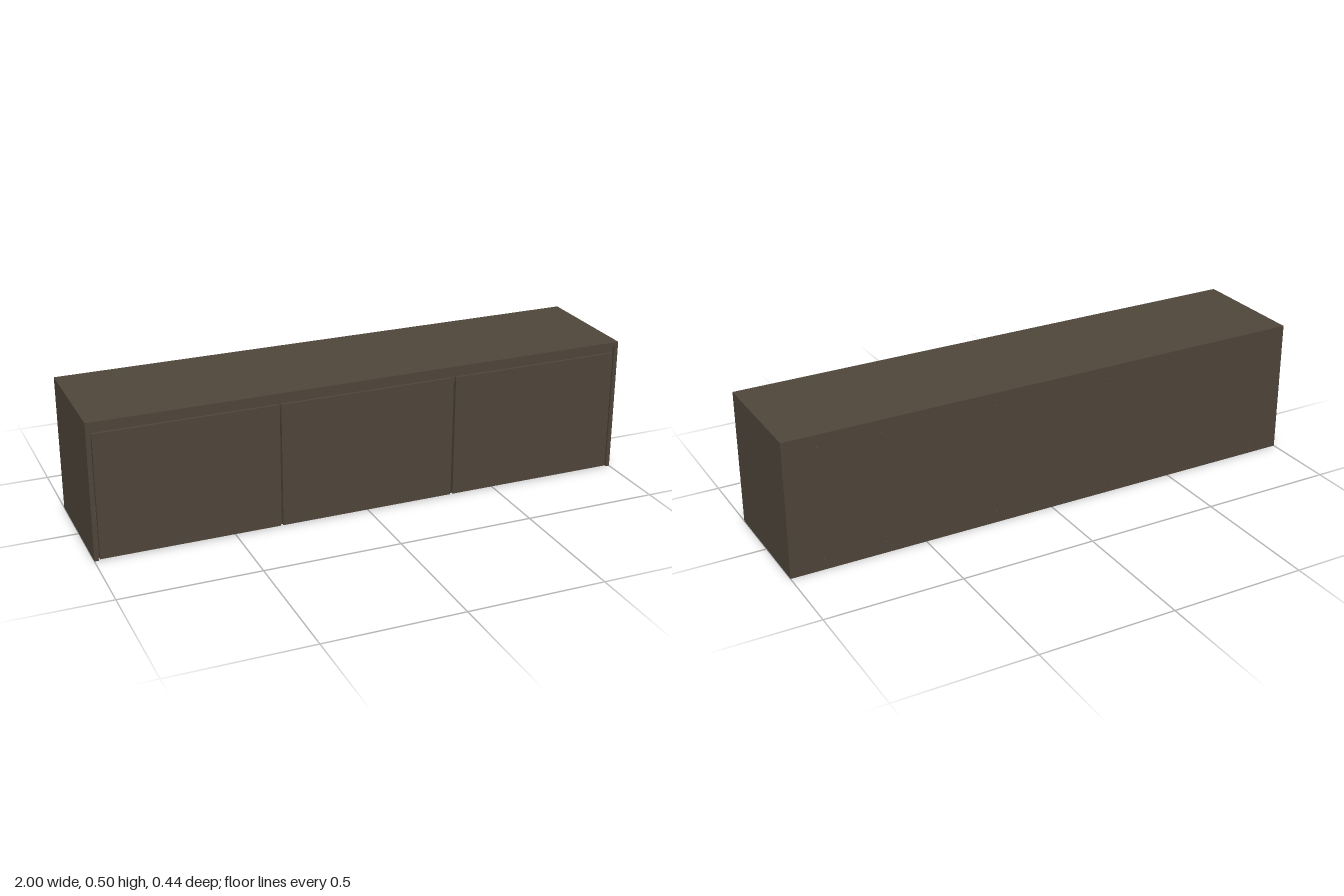
import * as THREE from 'three';

const W = 2, H = 0.502, D = 0.444; // overall size
const T = 0.015;                   // panel thickness

export function createModel() {
  const group = new THREE.Group();
  const wood = new THREE.MeshStandardMaterial({ color: 0x50463b });
  wood.name = 'dark brown wood';

  // Box panel given by its minimum and maximum corners
  function panel(name, x0, x1, y0, y1, z0, z1) {
    const mesh = new THREE.Mesh(new THREE.BoxGeometry(x1 - x0, y1 - y0, z1 - z0), wood);
    mesh.position.set((x0 + x1) / 2, (y0 + y1) / 2, (z0 + z1) / 2);
    mesh.name = name;
    group.add(mesh);
  }

  const front = D / 2, back = -D / 2, inner = W / 2 - T;
  const doorBack = front - 0.018, cavityBack = back + 2 * T;

  // Carcass
  panel('topPanel', -W / 2, W / 2, H - T, H, back, front);
  panel('leftSide', inner, W / 2, 0, H - T, back, front);
  panel('rightSide', -W / 2, -inner, 0, H - T, back, front);
  panel('bottomPanel', -inner, inner, 0, T, cavityBack, doorBack);
  panel('backing', -inner, inner, 0, H - T, back + T, cavityBack);
  panel('frontRail', -inner, inner, 0.44, H - T, doorBack - T, front - 0.01);

  // Dividers behind the door gaps
  for (const x of [-0.33, 0.33]) {
    panel('divider', x - T / 2, x + T / 2, T, H - T, cavityBack, doorBack);
  }

  // Three doors, just inside the front edge
  const doors = [[-0.98, -0.335], [-0.325, 0.325], [0.335, 0.98]];
  for (const [x0, x1] of doors) {
    panel('door', x0, x1, 0.004, 0.46, doorBack, front - 0.001);
  }

  // Back panel with two rows of small screw holes
  const shape = new THREE.Shape([
    new THREE.Vector2(-inner, 0), new THREE.Vector2(inner, 0),
    new THREE.Vector2(inner, H - T), new THREE.Vector2(-inner, H - T),
  ]);
  for (const x of [-0.876, -0.65, -0.222, 0.222, 0.65, 0.876]) {
    for (const y of [0.044, 0.458]) {
      const hole = new THREE.Path();
      hole.absarc(x, y, 0.004, 0, Math.PI * 2, true);
      shape.holes.push(hole);
    }
  }
  const backPanel = new THREE.Mesh(
    new THREE.ExtrudeGeometry(shape, { depth: T, bevelEnabled: false, curveSegments: 12 }), wood);
  backPanel.position.z = back;
  backPanel.name = 'backPanel';
  group.add(backPanel);

  return group;
}
